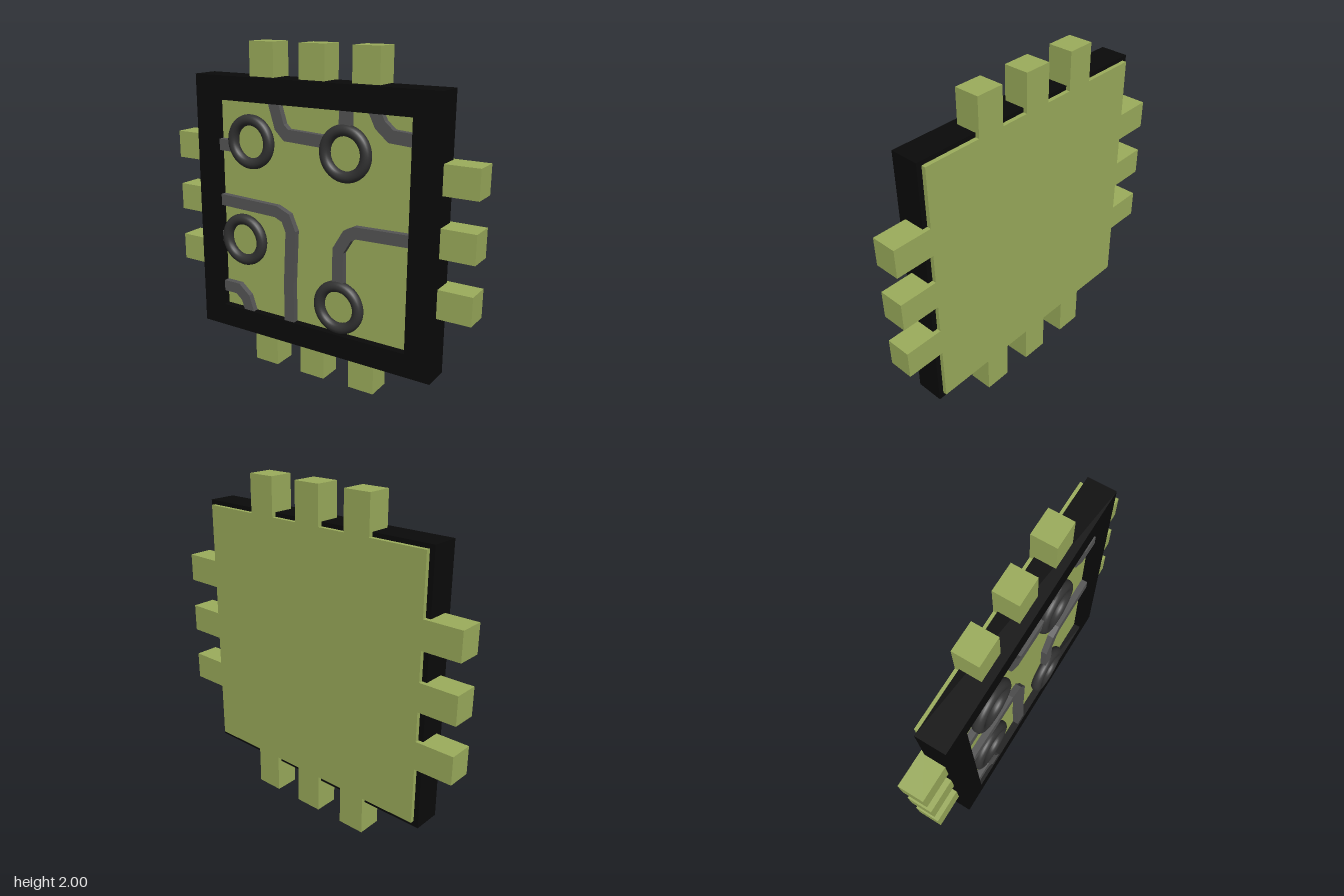
import * as THREE from 'three';

const material = (color) => new THREE.MeshStandardMaterial({ color });
const green = material(0x9cad5c);
const black = material(0x0a0a0a);
const traceGrey = material(0x555555);
const ringGrey = material(0x333333);

const BACK = -0.105, BOARD_FRONT = 0.045, TRACE_FRONT = 0.082;

// Flat strip of constant width along a polyline, with mitred corners
function stripShape(points, width) {
  const p = points.map(([x, y]) => new THREE.Vector2(x, y));
  const left = [], right = [];
  p.forEach((point, i) => {
    const a = p[Math.max(i - 1, 0)], b = p[Math.min(i + 1, p.length - 1)];
    const dirIn = (i > 0 ? point.clone().sub(a) : b.clone().sub(point)).normalize();
    const dirOut = (i < p.length - 1 ? b.clone().sub(point) : dirIn.clone()).normalize();
    const tangent = dirIn.clone().add(dirOut).normalize();
    const reach = width / 2 / tangent.dot(dirIn);
    const normal = new THREE.Vector2(-tangent.y, tangent.x).multiplyScalar(reach);
    left.push(point.clone().add(normal));
    right.push(point.clone().sub(normal));
  });
  return new THREE.Shape([...right, ...left.reverse()]);
}

export function createModel() {
  const model = new THREE.Group();
  const add = (name, geometry, mat, x = 0, y = 0, z = 0) => {
    const mesh = new THREE.Mesh(geometry, mat);
    mesh.name = name;
    mesh.position.set(x, y, z);
    model.add(mesh);
  };

  // Circuit board slab
  const depth = BOARD_FRONT - BACK, midZ = (BOARD_FRONT + BACK) / 2;
  add('board', new THREE.BoxGeometry(1.54, 1.54, depth), green, 0, 1.005, midZ);

  // Three contact pins on each of the four edges
  for (const side of [-1, 1]) {
    for (const offset of [-0.342, 0, 0.342]) {
      add('edgePin', new THREE.BoxGeometry(0.168, 0.24, depth), green, offset, 1 + side * 0.88, midZ);
      add('sidePin', new THREE.BoxGeometry(0.24, 0.168, depth), green, side * 0.88, 1.003 + offset, midZ);
    }
  }

  // Square frame with a window
  const frame = new THREE.Shape([[-0.8, 0.2], [0.8, 0.2], [0.8, 1.8], [-0.8, 1.8]]
    .map(([x, y]) => new THREE.Vector2(x, y)));
  frame.holes.push(new THREE.Path([[-0.64, 0.342], [-0.64, 1.657], [0.64, 1.657], [0.64, 0.342]]
    .map(([x, y]) => new THREE.Vector2(x, y))));
  add('frame', new THREE.ExtrudeGeometry(frame, { depth: 0.17, bevelEnabled: false }), black, 0, 0, -0.08);

  // Raised conductor traces, their ends tucked under the frame and rings
  const traces = [
    [[-0.66, 1.385], [-0.53, 1.385]],
    [[-0.242, 1.68], [-0.195, 1.53], [-0.15, 1.487], [0.11, 1.475]],
    [[0.235, 1.68], [0.235, 1.56]],
    [[0.41, 1.68], [0.45, 1.6], [0.515, 1.545], [0.66, 1.535]],
    [[-0.66, 1.04], [-0.23, 1.025], [-0.16, 0.995], [-0.125, 0.915], [-0.14, 0.6], [-0.14, 0.32]],
    [[0.66, 0.995], [0.31, 0.985], [0.26, 0.96], [0.2, 0.86], [0.2, 0.64]],
    [[-0.66, 0.805], [-0.6, 0.805]],
    [[-0.66, 0.47], [-0.535, 0.47], [-0.475, 0.42], [-0.44, 0.32]],
  ];
  for (const path of traces) {
    const geometry = new THREE.ExtrudeGeometry(stripShape(path, 0.07),
      { depth: TRACE_FRONT - BOARD_FRONT + 0.01, bevelEnabled: false });
    add('trace', geometry, traceGrey, 0, 0, BOARD_FRONT - 0.01);
  }

  // Solder rings
  for (const [x, y] of [[-0.408, 1.422], [0.236, 1.422], [-0.474, 0.806], [0.202, 0.512]]) {
    add('ring', new THREE.TorusGeometry(0.13, 0.033, 16, 48), ringGrey, x, y, 0.072);
  }
  return model;
}
